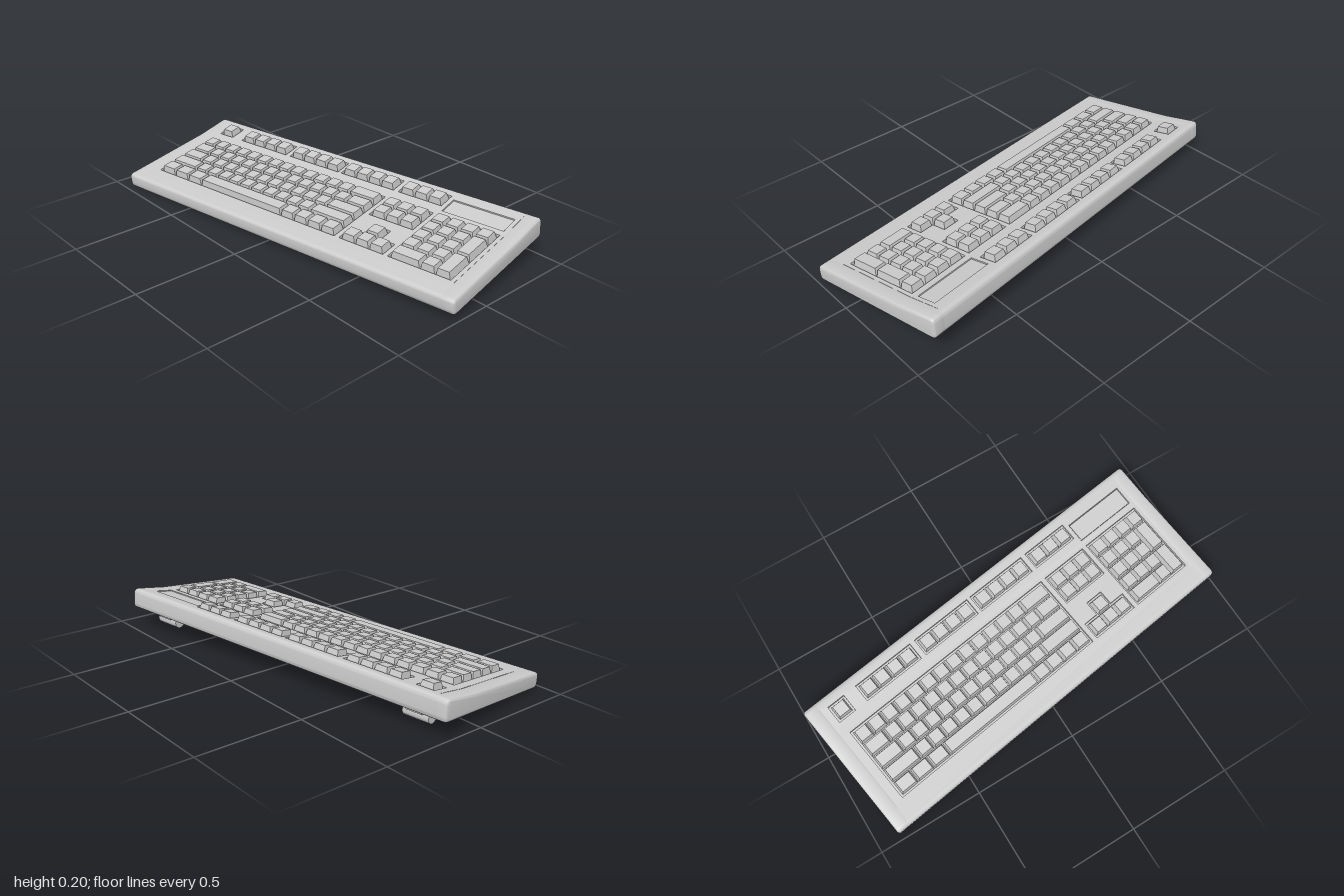
import * as THREE from 'three';
import { toCreasedNormals } from 'three/addons/utils/BufferGeometryUtils.js';

const grey = new THREE.MeshStandardMaterial({ color: 0xcccccc });
const HALF_W = 0.957, PITCH = 0.074, ROW = 0.072, WELL = 0.014;
const MAIN_X = -0.84, MAIN_Z = -0.135, NAV_X = 0.309, PAD_X = 0.568, FN_Z = -0.284;
const FN_GROUPS = [[-0.848, 1], [-0.693, 4], [-0.356, 4], [-0.027, 4], [NAV_X, 3]];

// Height of the case top along its depth (front to back, gently dished)
const TOP = [[0.32, 0.073], [0.25, 0.074], [-0.155, 0.083], [-0.32, 0.097]];
function topY(z) {
  for (let i = 0; i < 3; i++) {
    const [z0, y0] = TOP[i], [z1, y1] = TOP[i + 1];
    if (z >= z1 || i === 2) return y0 + (y1 - y0) * (z - z0) / (z1 - z0);
  }
}

function add(parent, name, geometry) {
  const mesh = new THREE.Mesh(geometry, grey);
  mesh.name = name;
  parent.add(mesh);
  return mesh;
}

const rect = (x0, z0, x1, z1, m = 0) => [
  [x0 - m, z0 - m], [x1 + m, z0 - m], [x1 + m, z1 + m], [x0 - m, z1 + m],
].map(([x, z]) => new THREE.Vector2(x, z));

// Horizontal slab with holes; its upper face is at y = 0
function slab(outline, holes, depth) {
  const shape = new THREE.Shape(outline);
  holes.forEach((h) => shape.holes.push(new THREE.Path(h)));
  return new THREE.ExtrudeGeometry(shape, { depth, bevelEnabled: false }).rotateX(Math.PI / 2);
}

// Side profile of the case; optionally lowered where the deck is set in
function caseProfile(dip) {
  const s = new THREE.Shape();
  s.moveTo(-0.32, 0);
  s.lineTo(0.32, 0);
  s.quadraticCurveTo(0.344, 0, 0.344, 0.024);
  s.lineTo(0.344, 0.075);
  s.quadraticCurveTo(0.344, 0.097, 0.32, 0.097);
  if (dip) {
    s.lineTo(0.305, topY(-0.305));
    s.lineTo(0.305, topY(-0.305) - WELL);
    s.lineTo(0.155, topY(-0.155) - WELL);
    s.lineTo(-0.25, topY(0.25) - WELL);
  } else s.lineTo(0.155, topY(-0.155));
  s.lineTo(-0.25, topY(0.25));
  s.lineTo(-0.32, 0.073);
  s.quadraticCurveTo(-0.344, 0.073, -0.344, 0.05);
  s.lineTo(-0.344, 0.024);
  s.quadraticCurveTo(-0.344, 0, -0.32, 0);
  return s;
}

function buildCase(parent) {
  const mid = new THREE.ExtrudeGeometry(caseProfile(true), { depth: 1.8, bevelEnabled: false, curveSegments: 6 });
  add(parent, 'caseBody', toCreasedNormals(mid.translate(0, 0, -0.9).rotateY(Math.PI / 2), 0.6));
  // Rounded end cheeks
  const b = 0.012;
  for (const side of [-1, 1]) {
    const cheek = new THREE.ExtrudeGeometry(caseProfile(false), {
      depth: 0.075 - 2 * b, bevelThickness: b, bevelSize: b, bevelOffset: -b, bevelSegments: 3, curveSegments: 6,
    });
    cheek.translate(0, 0, side > 0 ? HALF_W - 0.075 + b : -HALF_W + b).rotateY(Math.PI / 2);
    add(parent, 'caseEnd', toCreasedNormals(cheek, 0.6));
  }
  // Deck in two bands, with wells for the key groups
  const m = 0.007, z1 = MAIN_Z + 5 * ROW, navEnd = NAV_X + 3 * PITCH;
  const ax = NAV_X + PITCH - m, ay = MAIN_Z + 3 * ROW - m, az = MAIN_Z + 4 * ROW - m;
  const arrowWell = [[ax, ay], [ax + PITCH + 2 * m, ay], [ax + PITCH + 2 * m, az], [navEnd + m, az],
    [navEnd + m, z1 + m], [NAV_X - m, z1 + m], [NAV_X - m, az], [ax, az]].map((p) => new THREE.Vector2(...p));
  const bands = [
    [0.25, -0.155, [
      rect(MAIN_X, MAIN_Z, MAIN_X + 15 * PITCH, z1, m),
      rect(NAV_X, MAIN_Z, navEnd, MAIN_Z + 2 * ROW, m),
      arrowWell,
      rect(PAD_X, MAIN_Z, PAD_X + 4 * PITCH, z1, m)]],
    [-0.155, -0.305, [
      ...FN_GROUPS.map(([x, n]) => rect(x, FN_Z, x + n * PITCH, FN_Z + ROW, m)),
      rect(0.56, -0.27, 0.87, -0.175)]],
  ];
  for (const [front, back, holes] of bands) {
    const geo = slab(rect(-0.89, back, 0.89, front), holes, WELL);
    const p = geo.attributes.position;
    for (let i = 0; i < p.count; i++) p.setY(i, p.getY(i) + topY(p.getZ(i)));
    geo.computeVertexNormals();
    add(parent, 'keyDeck', geo);
  }
  // Indicator panel, set slightly below the deck
  const panel = add(parent, 'indicatorPanel', new THREE.BoxGeometry(0.304, 0.01, 0.09));
  panel.position.set(0.715, topY(-0.2225) - 0.009, -0.2225);
  panel.rotation.x = 0.085;
}

// Tapered key cap filling a cell of the key grid
function addKey(parent, x, z, w, d, name = 'key') {
  const h = 0.036, geo = new THREE.BoxGeometry(w - 0.005, h, d - 0.005);
  const p = geo.attributes.position;
  for (let i = 0; i < p.count; i++) {
    if (p.getY(i) < 0) continue;
    p.setX(i, p.getX(i) - Math.sign(p.getX(i)) * 0.007);
    p.setZ(i, p.getZ(i) - Math.sign(p.getZ(i)) * 0.006);
  }
  geo.computeVertexNormals();
  const key = add(parent, name, geo), cz = z + d / 2;
  key.position.set(x + w / 2, topY(cz) - WELL + h / 2, cz);
  key.rotation.x = Math.atan(topY(cz - 0.01) - topY(cz + 0.01)) / 0.02 * 0.9;
}

function buildKeys(parent) {
  const group = (name) => {
    const g = new THREE.Group();
    g.name = name;
    parent.add(g);
    return g;
  };
  const ones = (n) => Array(n).fill(1);
  const fn = group('functionKeys');
  for (const [x, n] of FN_GROUPS) {
    for (let i = 0; i < n; i++) addKey(fn, x + i * PITCH, FN_Z, PITCH, ROW);
  }
  // Main block, key widths in units
  const main = group('mainKeys');
  const rows = [
    [...ones(13), 2],
    [1.5, ...ones(12), 1.5],
    [1.75, ...ones(11), 2.25],
    [2.25, ...ones(10), 2.75],
    [1.25, 1.25, 1.25, 7, 1.0625, 1.0625, 1.0625, 1.0625],
  ];
  rows.forEach((row, r) => {
    let x = MAIN_X;
    for (const u of row) {
      addKey(main, x, MAIN_Z + r * ROW, u * PITCH, ROW, u === 7 ? 'spaceBar' : 'key');
      x += u * PITCH;
    }
  });
  // Clusters as [column, row, width, height]
  const cluster = (name, x, cells) => {
    const g = group(name);
    for (const [c, r, w = 1, h = 1] of cells) addKey(g, x + c * PITCH, MAIN_Z + r * ROW, w * PITCH, h * ROW);
  };
  cluster('navigationKeys', NAV_X, [[0, 0], [1, 0], [2, 0], [0, 1], [1, 1], [2, 1]]);
  cluster('arrowKeys', NAV_X, [[1, 3], [0, 4], [1, 4], [2, 4]]);
  const pad = [[3, 0], [3, 1, 1, 2], [3, 3, 1, 2], [0, 4, 2, 1], [2, 4]];
  for (let r = 0; r < 4; r++) for (let c = 0; c < 3; c++) pad.push([c, r]);
  cluster('numberPad', PAD_X, pad);
}

function buildUnderside(parent) {
  const slots = [-0.77, 0.77].map((x) => rect(x - 0.05, -0.27, x + 0.05, -0.005));
  add(parent, 'bottomPlate', slab(rect(-0.885, -0.3, 0.885, 0.255), slots, 0.013));
  // Folding feet: sloping arm ending in a barrel
  for (const x of [-0.77, 0.77]) {
    const foot = new THREE.Group();
    foot.name = 'foot';
    foot.position.x = x;
    parent.add(foot);
    const arm = new THREE.Shape([[0.015, -0.004], [0.015, -0.016], [0.25, -0.064], [0.262, -0.058], [0.262, -0.048]]
      .map((p) => new THREE.Vector2(...p)));
    const geo = new THREE.ExtrudeGeometry(arm, { depth: 0.07, bevelEnabled: false });
    add(foot, 'footArm', geo.translate(0, 0, -0.035).rotateY(Math.PI / 2));
    const barrel = add(foot, 'footBarrel', toCreasedNormals(new THREE.CylinderGeometry(0.028, 0.028, 0.13, 20), 0.6));
    barrel.rotation.z = Math.PI / 2;
    barrel.position.set(0, -0.034, -0.247);
    add(foot, 'footHinge', new THREE.BoxGeometry(0.08, 0.024, 0.03)).position.set(0, -0.01, -0.275);
  }
}

export function createModel() {
  const model = new THREE.Group();
  model.name = 'keyboard';
  const board = new THREE.Group();
  board.name = 'board';
  model.add(board);
  buildCase(board);
  buildKeys(board);
  buildUnderside(board);
  // Turned and propped up on its feet
  board.rotation.set(0.104, 0.147, 0.0145, 'YZX');
  const box = new THREE.Box3().setFromObject(model, true);
  const c = box.getCenter(new THREE.Vector3());
  board.position.set(-c.x, -box.min.y, -c.z);
  return model;
}
